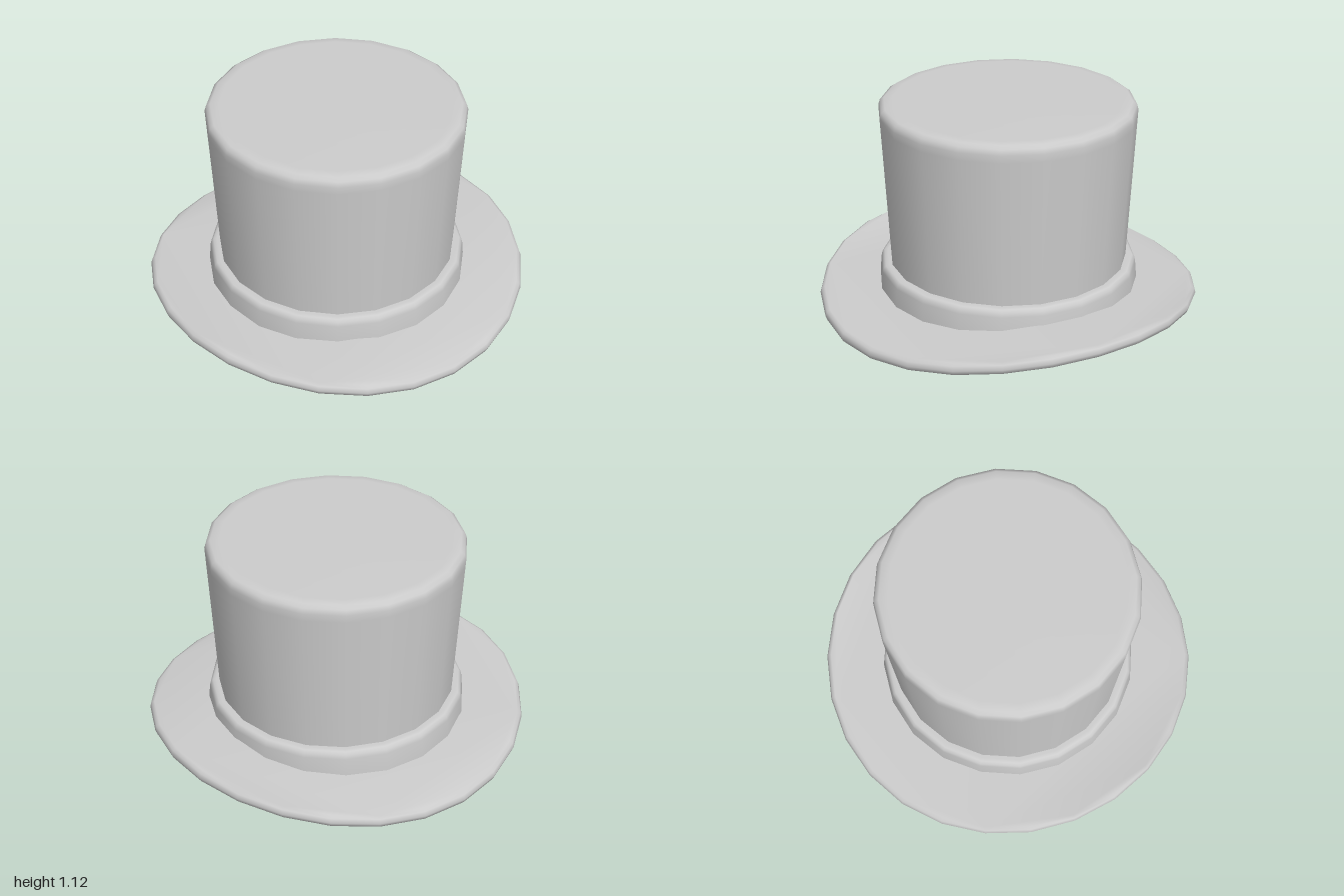
import * as THREE from 'three';

const felt = new THREE.MeshStandardMaterial({ color: 0xcccccc });
felt.name = 'grey felt';

// Turned part from [radius, height] pairs, bottom to top
function turned(name, profile) {
  const points = profile.map(([r, y]) => new THREE.Vector2(r, y));
  const mesh = new THREE.Mesh(new THREE.LatheGeometry(points, 20), felt);
  mesh.name = name;
  return mesh;
}

// Saddle-shaped brim: a rounded rim, raised at the sides, with both faces spanned by chords
function makeBrim() {
  const sides = 26;
  const rim = [[0.975, 0.066], [0.992, 0.056], [1, 0.033], [0.992, 0.01], [0.975, 0]];
  const positions = [], index = [];
  for (const [r, y] of rim) {
    for (let i = 0; i < sides; i++) {
      const a = (i / sides) * Math.PI * 2;
      const lift = 0.113 * Math.sin(a) ** 2;
      positions.push(r * Math.sin(a), y + lift, r * Math.cos(a));
    }
  }
  const at = (ring, i) => ring * sides + (i % sides);

  // Rounded edge
  for (let k = 0; k < rim.length - 1; k++) {
    for (let i = 0; i < sides; i++) {
      index.push(at(k, i), at(k + 1, i), at(k + 1, i + 1));
      index.push(at(k, i), at(k + 1, i + 1), at(k, i + 1));
    }
  }

  // Upper and lower faces
  const triangle = (ring, a, b, c) => {
    const t = [at(ring, a), at(ring, b), at(ring, c)];
    index.push(...(ring === 0 ? t : t.reverse()));
  };
  const fill = (ring, a, b) => {
    if (b - a < 2) return;
    const m = Math.ceil((a + b) / 2);
    triangle(ring, a, m, b);
    fill(ring, a, m);
    fill(ring, m, b);
  };
  const span = (ring, a, b, c) => {
    triangle(ring, a, b, c);
    fill(ring, a, b);
    fill(ring, b, c);
    fill(ring, c, a + sides);
  };
  span(0, 6, 16, 23);
  span(rim.length - 1, 2, 10, 20);

  const geometry = new THREE.BufferGeometry();
  geometry.setAttribute('position', new THREE.Float32BufferAttribute(positions, 3));
  geometry.setIndex(index);
  geometry.computeVertexNormals();
  const mesh = new THREE.Mesh(geometry, felt);
  mesh.name = 'brim';
  return mesh;
}

export function createModel() {
  const hat = new THREE.Group();
  hat.name = 'topHat';
  hat.add(
    makeBrim(),
    // Crown flares slightly towards a softly rounded top
    turned('crown', [
      [0, 0.055], [0.61, 0.055], [0.612, 0.06], [0.624, 0.26], [0.662, 1.03], [0.664, 1.07],
      [0.656, 1.098], [0.635, 1.112], [0.59, 1.117], [0, 1.12],
    ]),
    // Band around the foot of the crown
    turned('band', [
      [0.61, 0.056], [0.685, 0.056], [0.686, 0.07], [0.683, 0.14], [0.676, 0.215],
      [0.671, 0.238], [0.658, 0.25], [0.64, 0.253], [0.61, 0.253],
    ]),
  );
  return hat;
}
